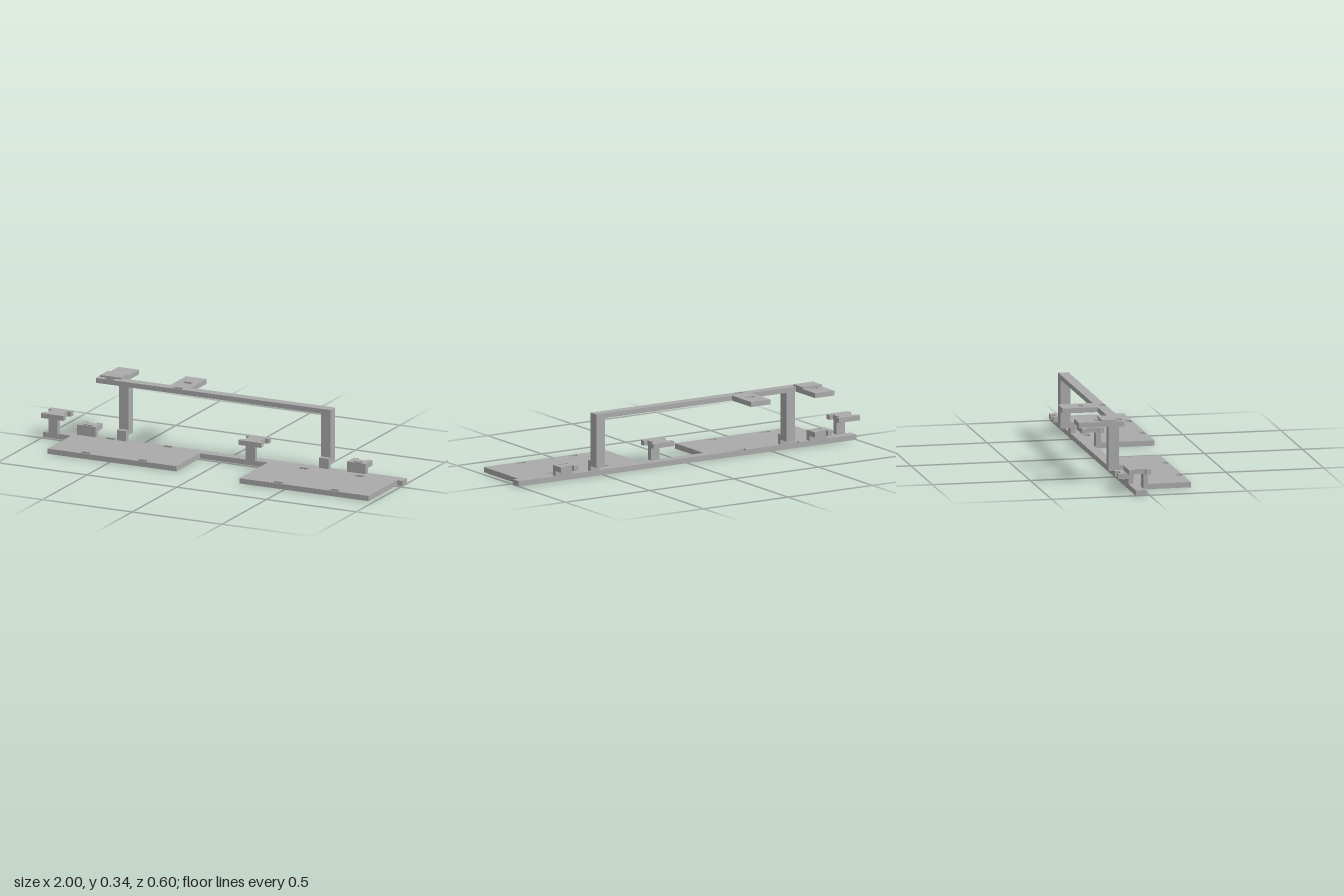
import * as THREE from 'three';

const grey = new THREE.MeshStandardMaterial({ color: 0xaaaaaa });
grey.name = 'plain grey';

const rect = (x0, x1, z0, z1) => [[x0, z0], [x1, z0], [x1, z1], [x0, z1]];
const slot = (x, z) => rect(x - 0.025, x + 0.025, z - 0.013, z + 0.013);

// Flat slab from an (x, z) outline with optional holes, between heights y0 and y1
function slab(name, outline, y0, y1, holes = []) {
  const toPoints = list => list.map(([x, z]) => new THREE.Vector2(x, z));
  const shape = new THREE.Shape(toPoints(outline));
  shape.holes = holes.map(h => new THREE.Path(toPoints(h)));
  const geometry = new THREE.ExtrudeGeometry(shape, { depth: y1 - y0, bevelEnabled: false });
  geometry.rotateX(Math.PI / 2).translate(0, y1, 0);
  const mesh = new THREE.Mesh(geometry, grey);
  mesh.name = name;
  return mesh;
}

// Tall stand with an I-shaped head
function headStand(x) {
  const g = new THREE.Group();
  g.name = 'headStand';
  const right = [[0.063, 0.008], [0.063, -0.019], [0.043, -0.019], [0.043, -0.077], [0.063, -0.077], [0.063, -0.105]];
  const left = right.map(([a, z]) => [-a, z]).reverse();
  g.add(
    slab('stem', rect(-0.026, 0.026, -0.024, 0.001), 0.027, 0.106),
    slab('head', [...right, ...left], 0.106, 0.131)
  );
  g.position.x = x;
  return g;
}

// Low bracket with a notched shelf reaching backwards
const clipHole = x => rect(x - 0.025, x + 0.025, -0.066, -0.05);
function clip(x) {
  const g = new THREE.Group();
  g.name = 'lowBracket';
  const shelf = [[-0.052, -0.045], [-0.052, -0.122], [-0.024, -0.122], [-0.024, -0.104],
    [0.024, -0.104], [0.024, -0.122], [0.052, -0.122], [0.052, -0.045]];
  g.add(
    slab('wall', rect(-0.052, 0.052, -0.07, -0.045), 0.027, 0.053, [clipHole(0)]),
    slab('shelf', shelf, 0.053, 0.08, [clipHole(0)])
  );
  g.position.x = x;
  return g;
}

export function createModel() {
  const model = new THREE.Group();
  model.name = 'bracketFrame';

  // Base rail and the two floor plates
  const clips = [-0.774, 0.73];
  model.add(
    slab('rail', rect(-1, 1, -0.07, -0.017), 0, 0.027,
      [slot(-0.645, -0.055), slot(-0.328, -0.055), ...clips.map(clipHole)]),
    slab('leftwardPlate', rect(0.25, 0.97, -0.017, 0.3), 0, 0.027,
      [0.455, 0.768].flatMap(x => [slot(x, -0.002), slot(x, 0.281)])),
    slab('rightwardPlate', rect(-0.845, -0.128, -0.017, 0.245), 0, 0.027,
      [slot(-0.645, 0.226), slot(-0.328, 0.226)])
  );

  for (const x of [-0.937, 0.162]) model.add(headStand(x));
  for (const x of clips) model.add(clip(x));

  // Posts with their feet
  for (const x of [-0.578, 0.548]) {
    model.add(
      slab('foot', rect(x - 0.026, x + 0.026, -0.07, -0.045), 0.027, 0.08),
      slab('post', rect(x - 0.026, x + 0.026, -0.122, -0.07), 0.053, 0.302)
    );
  }

  // Upper beam and its rear tabs
  const tabs = [-0.665, -0.287];
  model.add(slab('beam', rect(-0.733, 0.574, -0.122, -0.07), 0.302, 0.327, tabs.map(x => slot(x, -0.086))));
  for (const x of tabs) {
    model.add(slab('tab', rect(x - 0.057, x + 0.057, -0.3, -0.122), 0.302, 0.327, [slot(x, -0.197)]));
  }
  model.add(slab('pad', rect(-0.724, -0.608, -0.182, -0.1), 0.327, 0.336));

  return model;
}
